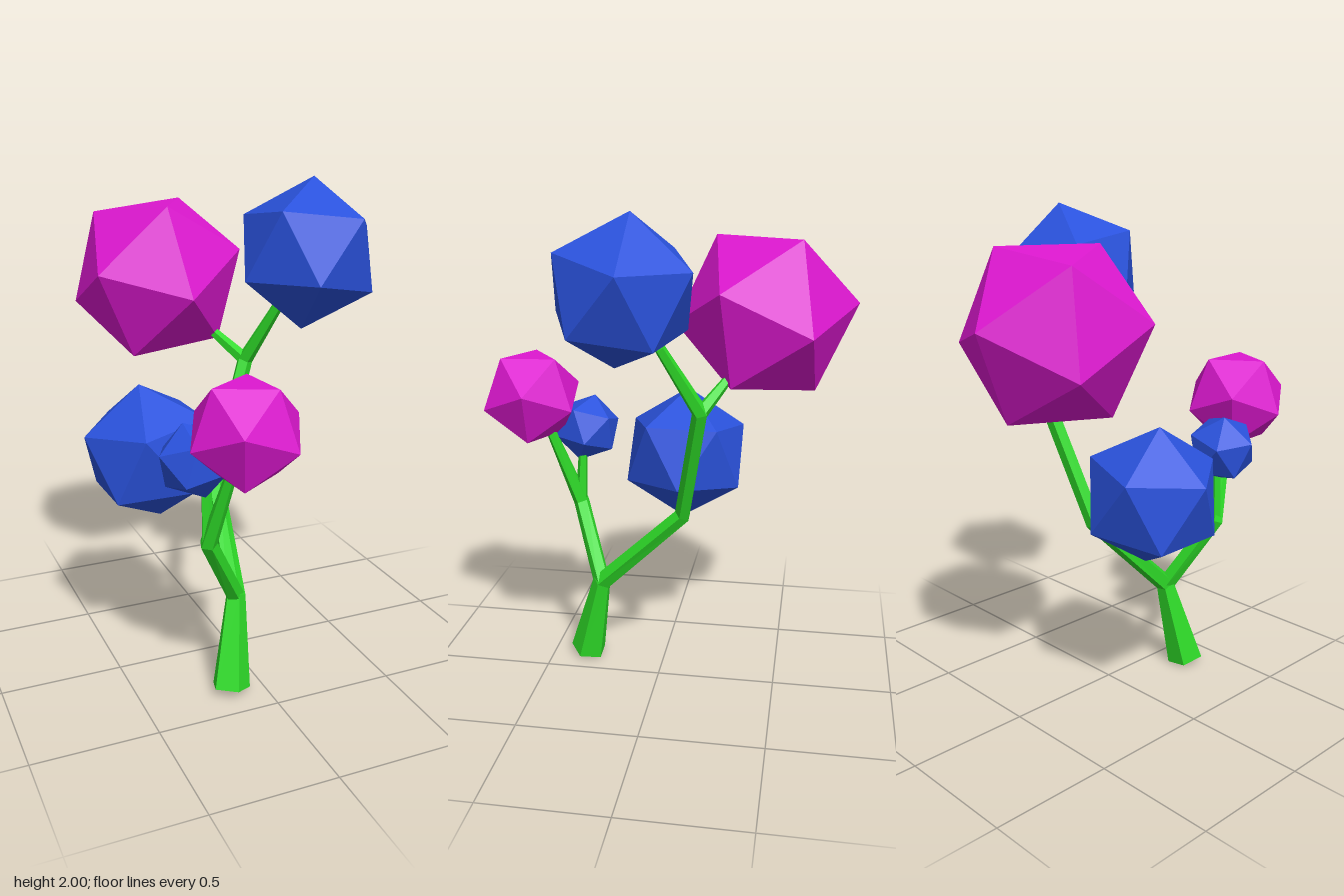
import * as THREE from 'three';

const material = (color) => new THREE.MeshStandardMaterial({ color, flatShading: true });
const V = (p) => new THREE.Vector3(...p);

// Icosahedron turned so that one of its edges runs between directions a and b
function foliage(name, mat, centre, radius, a, b) {
  const geo = new THREE.IcosahedronGeometry(radius, 0);
  const va = V(a).normalize(), vb = V(b).normalize();
  const x = vb.clone().sub(va).normalize();
  const y = vb.clone().add(va).normalize();
  const z = x.clone().cross(y);
  const mesh = new THREE.Mesh(geo, mat);
  mesh.name = name;
  mesh.quaternion.setFromRotationMatrix(new THREE.Matrix4().makeBasis(x, y, z));
  mesh.position.set(...centre);
  return mesh;
}

// Tapered branch: five-sided rings lofted along points [x, y, z, radius], mitred at bends
function branch(name, mat, path, sides = 5) {
  const pts = path.map((p) => V(p.slice(0, 3)));
  const positions = [], index = [], n = pts.length;
  pts.forEach((p, i) => {
    const dir = new THREE.Vector3();
    if (i > 0) dir.add(p.clone().sub(pts[i - 1]).normalize());
    if (i < n - 1) dir.add(pts[i + 1].clone().sub(p).normalize());
    dir.normalize();
    const u = new THREE.Vector3(0, 0, 1).addScaledVector(dir, -dir.z).normalize();
    const w = dir.clone().cross(u);
    for (let s = 0; s < sides; s++) {
      const t = (s / sides) * Math.PI * 2;
      const q = p.clone().addScaledVector(u, Math.cos(t) * path[i][3]).addScaledVector(w, Math.sin(t) * path[i][3]);
      positions.push(q.x, q.y, q.z);
    }
  });
  for (let i = 0; i < n - 1; i++) {
    for (let s = 0; s < sides; s++) {
      const a = i * sides + s, b = i * sides + ((s + 1) % sides);
      index.push(a, b, b + sides, a, b + sides, a + sides);
    }
  }
  // End caps
  const last = (n - 1) * sides;
  for (let s = 1; s < sides - 1; s++) {
    index.push(0, s + 1, s, last, last + s, last + s + 1);
  }
  const geo = new THREE.BufferGeometry();
  geo.setAttribute('position', new THREE.Float32BufferAttribute(positions, 3));
  geo.setIndex(index);
  const flat = geo.toNonIndexed();
  flat.computeVertexNormals();
  const mesh = new THREE.Mesh(flat, mat);
  mesh.name = name;
  return mesh;
}

export function createModel() {
  const model = new THREE.Group();
  model.name = 'tree';
  const green = material(0x2edb28);
  const magenta = material(0xdd18d0);
  const blue = material(0x2a52dc);

  // Joints where branches part
  const fork = [-0.085, 0.38, 0.265];
  const middle = [-0.02, 0.74, -0.1];
  const upper = [0.155, 1.23, -0.19];
  const side = [-0.25, 0.69, 0.39];

  // Trunk and branches
  model.add(
    branch('trunk', green, [[-0.14, 0.018, 0.345, 0.08], [...fork, 0.042], [...middle, 0.036], [...upper, 0.034], [0.25, 1.5, -0.045, 0.022]]),
    branch('upperTwig', green, [[...upper, 0.03], [0.05, 1.34, -0.28, 0.02]]),
    branch('middleTwig', green, [[...middle, 0.03], [-0.12, 0.79, -0.105, 0.02]]),
    branch('sideBranch', green, [[...fork, 0.038], [...side, 0.036], [-0.2, 1.03, 0.51, 0.022]]),
    branch('sideTwig', green, [[...side, 0.028], [-0.255, 0.92, 0.38, 0.02]]),
  );

  // Faceted foliage
  model.add(
    foliage('largeBackFoliage', magenta, [-0.155, 1.575, -0.415], 0.37, [0.155, 0.305, -0.14], [-0.02, 0.305, 0.205]),
    foliage('topFoliage', blue, [0.3, 1.71, 0.085], 0.297, [0.04, 0.29, -0.04], [0.285, 0.09, -0.03]),
    foliage('rightFoliage', blue, [-0.32, 0.923, -0.07], 0.286, [-0.04, 0.285, -0.005], [-0.27, 0.095, 0]),
    foliage('frontFoliage', magenta, [-0.185, 1.185, 0.583], 0.22, [-0.1335, 0.175, 0.012], [0.057, 0.175, -0.121]),
    foliage('smallFoliage', blue, [-0.295, 1.024, 0.367], 0.148, [-0.03, 0.14, -0.03], [-0.145, 0.038, 0.018]),
  );
  return model;
}
